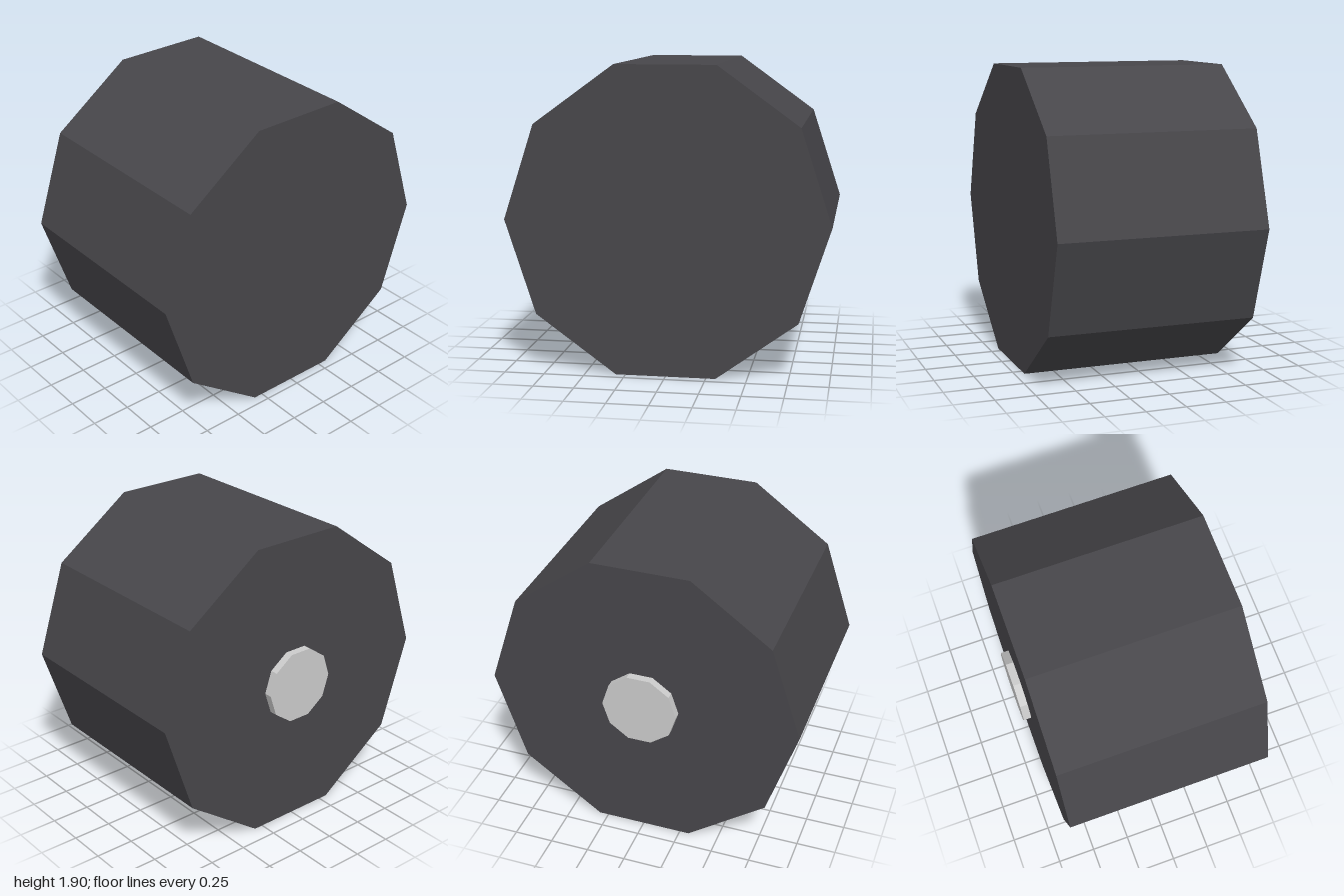
import * as THREE from 'three';

const CENTER_Y = Math.sin(Math.PI * 2 / 5); // apothem of a unit decagon

// Ten-sided drum lying along z, with corners on the x axis
function drum(name, radius, zBack, zFront, color) {
  const depth = zFront - zBack;
  const geometry = new THREE.CylinderGeometry(radius, radius, depth, 10, 1, false, Math.PI / 2);
  geometry.rotateX(Math.PI / 2);
  const mesh = new THREE.Mesh(geometry, new THREE.MeshStandardMaterial({ color, flatShading: true }));
  mesh.name = name;
  mesh.position.set(0, CENTER_Y, (zBack + zFront) / 2);
  return mesh;
}

export function createModel() {
  const group = new THREE.Group();
  group.name = 'wheel';
  // Wide dark tyre
  group.add(drum('tyre', 1, -0.64, 0.69, 0x47464a));
  // Small hub cap on the back face
  group.add(drum('hubCap', 0.24, -0.69, -0.64, 0xcccccc));
  return group;
}
